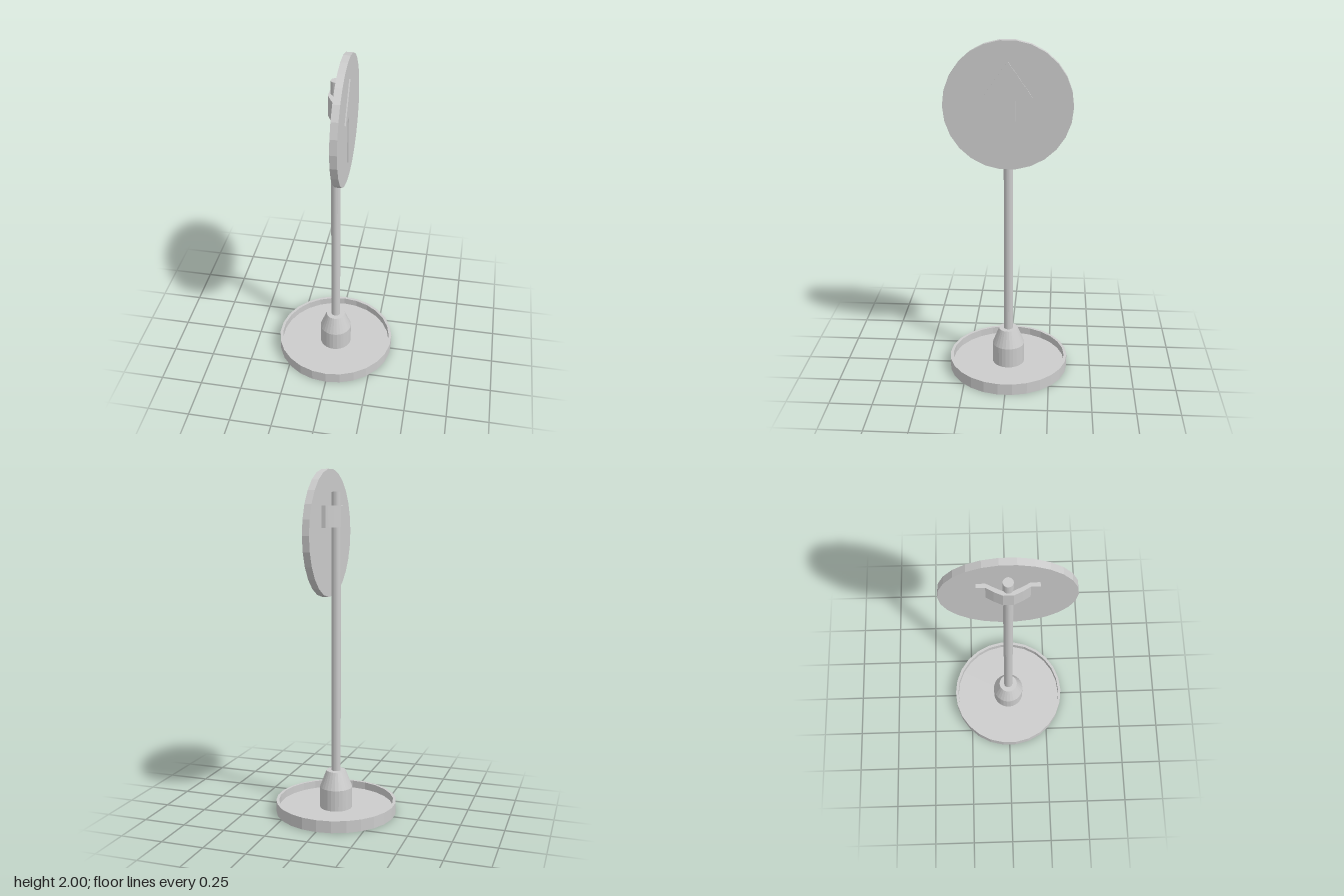
import * as THREE from 'three';

const SIDES = 26;

export function createModel() {
  const model = new THREE.Group();
  const material = new THREE.MeshStandardMaterial({ color: 0xcccccc, flatShading: true });

  const add = (name, geometry, x = 0, y = 0) => {
    const mesh = new THREE.Mesh(geometry, material);
    mesh.name = name;
    mesh.position.set(x, y, 0);
    model.add(mesh);
  };
  const lathe = (pairs) =>
    new THREE.LatheGeometry(pairs.map(([r, y]) => new THREE.Vector2(r, y)), SIDES);
  const extrude = (pairs, depth) =>
    new THREE.ExtrudeGeometry(new THREE.Shape(pairs.map(([x, y]) => new THREE.Vector2(x, y))), {
      depth,
      bevelEnabled: false,
    });

  // Shallow tray base with a thin raised rim
  add('base', lathe([[0, 0], [0.357, 0], [0.357, 0.07], [0.34, 0.07], [0.34, 0.025], [0, 0.025]]));

  // Collar: straight below, tapered above
  add('collar', lathe([[0.096, 0.025], [0.096, 0.15], [0.057, 0.25], [0, 0.25]]));

  // Pole
  add('pole', new THREE.CylinderGeometry(0.027, 0.027, 1.85, SIDES), 0, 0.95);

  // Round sign plate, facing +x
  add('signPlate', new THREE.CylinderGeometry(0.36, 0.36, 0.04, SIDES).rotateZ(-Math.PI / 2), 0.05, 1.643);

  // Raised arrow on the plate, mirrored about its centre line
  const half = [[0.044, 1.41], [0.044, 1.69], [0.139, 1.69]];
  const arrow = [...half, [0, 1.89], ...half.map(([x, y]) => [-x, y]).reverse()];
  add('arrow', extrude(arrow, 0.012).rotateY(Math.PI / 2), 0.065);

  // Bent strap holding the plate to the pole
  const outer = [[0.008, -0.16], [0.008, -0.113], [-0.016, -0.073], [-0.037, -0.027]];
  const inner = [[0.031, -0.16], [0.031, -0.113], [0.007, -0.068], [-0.012, -0.027]];
  const mirrored = (side) => [...side, ...side.map(([x, y]) => [x, -y]).reverse()];
  const strap = [...mirrored(outer), ...mirrored(inner).reverse()];
  add('clamp', extrude(strap, 0.12).rotateX(-Math.PI / 2), 0, 1.68);

  return model;
}
